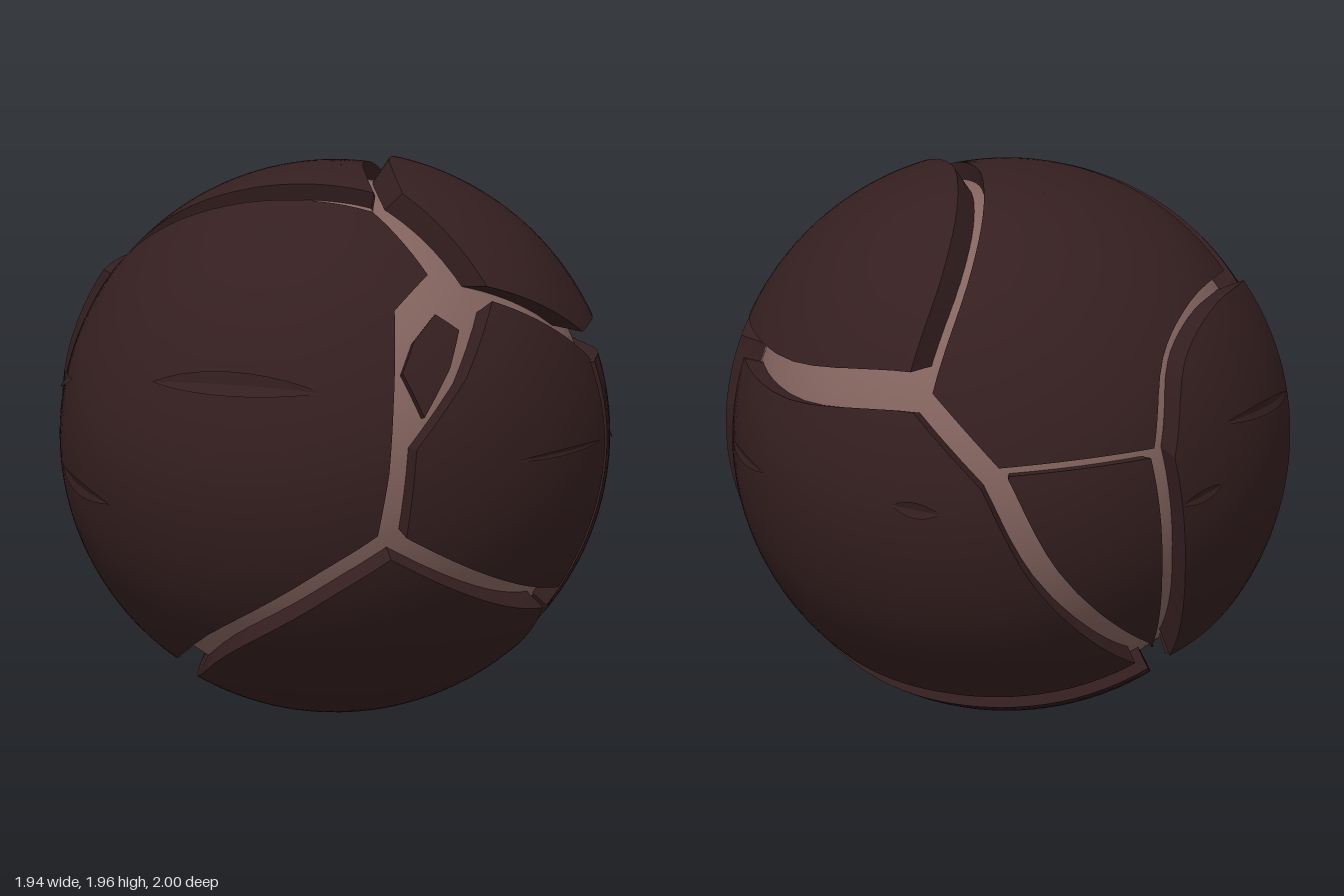
import * as THREE from 'three';
import { mergeGeometries } from 'three/addons/utils/BufferGeometryUtils.js';

const CORE = 0.9;
const v = (x, y, z) => new THREE.Vector3(x, y, z).normalize();
// direction of a point on the front half of the shell
const f = (x, y) => v(x, y, Math.sqrt(Math.max(0, 0.94 - x * x - y * y)));

// junctions of the crack network
const J = {
  ad: v(0.0, 0.84, 0.38), bde: v(0.61, 0.31, 0.58),
  det: v(0.7, 0.34, -0.41), atf: v(-0.6, 0.53, -0.46), abc: v(-0.25, -0.235, 0.87),
  bce: v(0.5, -0.5, 0.6), low: v(-0.13, -0.67, -0.63),
  etk: v(0.62, 0.1, -0.68), tfk: v(0.08, 0.13, -0.93),
};

// smooth crack line over the sphere, ends included
function bend(...points) {
  return new THREE.CatmullRomCurve3(points).getPoints((points.length - 1) * 5).map((p) => p.normalize());
}
const back = (path) => [...path].reverse();
// closed outline from crack lines that follow each other
const loop = (...paths) => paths.flatMap((path) => path.slice(0, -1));

const crack = {
  at: bend(J.atf, v(-0.38, 0.83, 0.0), J.ad),
  td: bend(J.ad, v(0.05, 0.94, 0.23), v(0.13, 0.96, 0.05), v(0.32, 0.895, -0.19), v(0.53, 0.73, -0.36), J.det),
  de: bend(J.det, v(0.86, 0.31, 0.08), J.bde),
  be: bend(J.bde, v(0.68, 0, 0.62), J.bce),
  bc: bend(J.abc, v(0.21, -0.44, 0.79), J.bce),
  ec: bend(J.low, v(0.39, -0.8, -0.18), v(0.5, -0.74, 0.2), J.bce),
  ac: bend(J.low, v(-0.4, -0.77, -0.28), v(-0.6, -0.62, 0.3), f(-0.47, -0.42), J.abc),
  tf: bend(J.atf, v(-0.25, 0.55, -0.72), v(-0.04, 0.43, -0.84), J.tfk),
  fk: bend(J.tfk, v(0, -0.31, -0.88), J.low),
  ek: bend(J.etk, v(0.46, -0.26, -0.77), J.low),
  et: [J.det, J.etk],
  tk: [J.etk, J.tfk],
  fa: bend(J.low, v(-0.42, -0.56, -0.62), v(-0.62, -0.24, -0.67), v(-0.7, 0.17, -0.6), J.atf),
};

// move every side of a spherical polygon inward by d, mitring the corners
function inset(points, d) {
  const n = points.length;
  const normals = points.map((p, i) => p.clone().cross(points[(i + 1) % n]).normalize());
  return points.map((p, i) => {
    const side = normals[i];
    const m = side.clone().add(normals[(i + n - 1) % n]).normalize();
    return p.clone().addScaledVector(m, d / Math.max(0.45, m.dot(side))).normalize();
  });
}

// subdivide an outline along the sphere, with step counts taken from a guide outline
function densify(points, guide) {
  const out = [];
  points.forEach((p, i) => {
    const j = (i + 1) % points.length;
    const steps = Math.max(1, Math.ceil(guide[i].angleTo(guide[j]) / 0.06));
    for (let k = 0; k < steps; k++) out.push(p.clone().lerp(points[j], k / steps).normalize());
  });
  return out;
}

// curved plate: domed top of concentric rings plus side walls leaning by the vector lean
function plateGeometry(outline, radius, gap, footGap, lean = [0, 0, 0], rings = 16) {
  const centre = outline.reduce((s, p) => s.add(p), new THREE.Vector3()).normalize();
  const turn = new THREE.Vector3();
  outline.forEach((p, i) => turn.add(p.clone().cross(outline[(i + 1) % outline.length])));
  const corners = turn.dot(centre) < 0 ? back(outline) : outline;

  const rim = densify(inset(corners, gap), corners);
  const foot = densify(inset(corners, footGap), corners)
    .map((p) => p.add(new THREE.Vector3(...lean)).setLength(CORE - 0.02));
  const n = rim.length;

  const pos = [], index = [];
  for (let r = 0; r < rings; r++)
    for (const p of rim) pos.push(...p.clone().lerp(centre, r / rings).setLength(radius));
  pos.push(...centre.clone().multiplyScalar(radius));
  for (let r = 0; r < rings; r++)
    for (let i = 0; i < n; i++) {
      const j = (i + 1) % n, a = r * n + i, b = r * n + j;
      if (r === rings - 1) index.push(a, b, rings * n);
      else index.push(a, b, b + n, a, b + n, a + n);
    }
  const top = new THREE.BufferGeometry();
  top.setAttribute('position', new THREE.Float32BufferAttribute(pos, 3));
  top.setIndex(index);
  top.computeVertexNormals();

  const wall = [];
  for (let i = 0; i < n; i++) {
    const j = (i + 1) % n;
    const a = rim[i].clone().multiplyScalar(radius), b = rim[j].clone().multiplyScalar(radius);
    for (const p of [a, foot[i], foot[j], a, foot[j], b]) wall.push(...p);
  }
  const sides = new THREE.BufferGeometry();
  sides.setAttribute('position', new THREE.Float32BufferAttribute(wall, 3));
  sides.computeVertexNormals();
  return mergeGeometries([top.toNonIndexed(), sides]);
}

// pointed V-shaped scar lying on a plate
function scarGeometry(a, b, width, radius, steps = 10) {
  const across = a.clone().cross(b).normalize();
  const row = (s) => {
    const mid = a.clone().lerp(b, s).normalize();
    const w = width * 4 * s * (1 - s);
    const at = (side, lift) => mid.clone().addScaledVector(across, side * w).setLength(radius + lift);
    return [at(-1, 0.002 + w * 0.3), at(0, 0.002), at(1, 0.002 + w * 0.3)];
  };
  const pos = [];
  for (let i = 0; i < steps; i++) {
    const p = row(i / steps), q = row((i + 1) / steps);
    for (const k of [0, 1])
      for (const c of [p[k], q[k], q[k + 1], p[k], q[k + 1], p[k + 1]]) pos.push(...c);
  }
  const geometry = new THREE.BufferGeometry();
  geometry.setAttribute('position', new THREE.Float32BufferAttribute(pos, 3));
  geometry.computeVertexNormals();
  return geometry;
}

export function createModel() {
  const group = new THREE.Group();
  const crust = new THREE.MeshStandardMaterial({ color: 0x351f20 });
  crust.name = 'darkCrust';
  const inner = new THREE.MeshStandardMaterial({ color: 0x84645f });
  inner.name = 'paleCore';

  const add = (name, geometry, material) => {
    const mesh = new THREE.Mesh(geometry, material);
    mesh.name = name;
    mesh.position.y = 0.985;
    group.add(mesh);
  };

  add('core', new THREE.SphereGeometry(CORE, 64, 40), inner);

  // name, outline, outer radius, rim gap, foot gap, lean of the walls
  const c = crack;
  const plates = [
    ['sidePlate', loop(bend(J.atf, v(-0.41, 0.82, 0.01), v(-0.04, 0.83, 0.4)),
      [v(-0.04, 0.83, 0.4), f(0.05, 0.65), f(-0.13, 0.54), f(-0.2, 0.24), f(-0.23, 0), J.abc],
      back(c.ac), c.fa), 0.967, 0.05, 0.055, [-0.03, 0, -0.04]],
    ['frontPlate', loop([f(0.18, 0.6), f(-0.015, 0.345), f(-0.23, 0.11), J.abc], c.bc, back(c.be),
      [J.bde, f(0.18, 0.6)]), 0.993, 0.05, 0.045],
    ['bottomPlate', loop(c.bc, back(c.ec), c.ac), 0.982, 0.05, 0.04],
    ['upperPlate', loop(c.td, bend(v(0.69, 0.365, -0.41), v(0.86, 0.335, 0.08), v(0.6, 0.33, 0.62)),
      [v(0.6, 0.33, 0.62), f(0.16, 0.57), J.ad]), 0.995, 0.05, 0.05, [-0.03, 0.07, -0.04]],
    ['oppositeSidePlate', loop(c.de, bend(v(0.63, 0.3, 0.56), v(0.7, 0, 0.59), v(0.52, -0.5, 0.57)),
      [v(0.52, -0.5, 0.57), J.bce], back(c.ec), back(c.ek), back(c.et)), 0.967, 0.06, 0.055],
    ['topPlate', loop(c.at, c.td, c.et, c.tk, back(c.tf)), 0.962, 0.04, 0.04],
    ['rearWedge', loop(c.ek, back(c.fk), [J.tfk, v(0.09, 0.18, -0.93), v(0.6, 0.15, -0.69), J.etk]),
      0.962, 0.045, 0.045],
    ['rearPlate', loop(c.tf, c.fk, c.fa), 0.998, 0.03, 0.025, [-0.025, 0.04, 0]],
  ];
  for (const [name, ...shape] of plates) add(name, plateGeometry(...shape), crust);

  // small loose piece inside the front crack
  add('crackFragment', plateGeometry([f(-0.01, 0.555), f(0.073, 0.493), f(0, 0.365), f(-0.13, 0.195),
    f(-0.19, 0.36), f(-0.12, 0.47)], 0.935, 0.002, 0.002, [0, 0, 0], 5), crust);

  // scars: start, end, half width, radius of the plate
  const scars = [
    [f(-0.88, 0.29), f(-0.47, 0.29), 0.045, 0.967],
    [f(0.17, 0.02), v(0.65, 0.03, 0.72), 0.012, 0.993],
    [v(0.81, 0.01, 0.54), v(0.95, -0.02, 0.2), 0.022, 0.967],
    [v(0.88, -0.01, -0.42), v(0.79, -0.03, -0.58), 0.03, 0.967],
    [v(-0.18, 0.2, -0.93), v(-0.64, 0.16, -0.64), 0.025, 0.998],
    [v(-0.74, 0.16, -0.55), v(-0.9, 0.22, -0.26), 0.03, 0.967],
    [v(-0.91, -0.09, -0.33), v(-0.96, -0.17, 0.1), 0.03, 0.967],
    [v(0.03, -0.04, -0.93), v(-0.16, 0.0, -0.95), 0.022, 0.998],
  ];
  for (const scar of scars) add('scar', scarGeometry(...scar), crust);

  return group;
}
